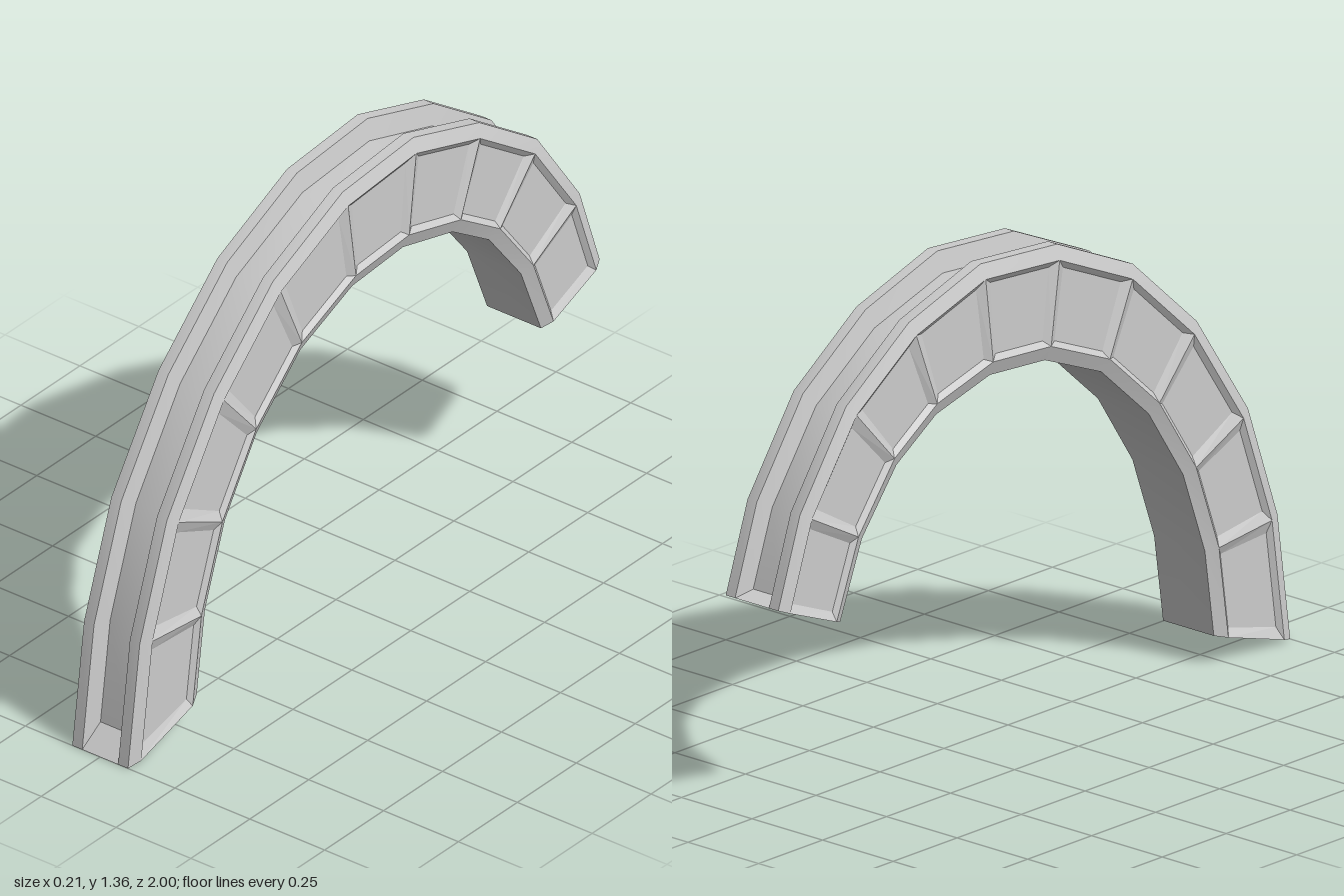
import * as THREE from 'three';
import { toCreasedNormals } from 'three/addons/utils/BufferGeometryUtils.js';

// Arch stations, front foot to rear tip: outer z, y and inner z, y
const stations = [
  [1, 0, 0.705, 0.085], [0.95, 0.36, 0.67, 0.33], [0.835, 0.685, 0.585, 0.565],
  [0.635, 0.98, 0.45, 0.77], [0.385, 1.205, 0.265, 0.935], [0.09, 1.337, 0.045, 1.025],
  [-0.21, 1.36, -0.17, 1.04], [-0.49, 1.27, -0.38, 0.985], [-0.735, 1.1, -0.535, 0.885],
  [-0.915, 0.845, -0.67, 0.715], [-1, 0.6, -0.755, 0.505],
];

// Grooved cross-section: x, and t running from inner (0) to outer (1) edge
const section = [
  [-0.09, 0], [0.09, 0], [0.107, 0.13], [0.107, 0.87], [0.093, 1], [0.06, 1],
  [0.048, 0.81], [-0.048, 0.81], [-0.06, 1], [-0.093, 1], [-0.107, 0.87], [-0.107, 0.13],
];
const SIDE_EDGES = [2, 10];
const last = stations.length - 1;

function point(i, [x, t]) {
  const [oz, oy, iz, iy] = stations[i];
  return new THREE.Vector3(x, iy + (oy - iy) * t, iz + (oz - iz) * t);
}

function quad(out, a, b, c, d) {
  out.push(a, b, c, a, c, d);
}

function build(name, points, crease = 0, side = THREE.FrontSide) {
  let geometry = new THREE.BufferGeometry().setFromPoints(points);
  if (crease) geometry = toCreasedNormals(geometry, crease);
  else geometry.computeVertexNormals();
  const material = new THREE.MeshStandardMaterial({ color: 0xcccccc, side });
  const mesh = new THREE.Mesh(geometry, material);
  mesh.name = name;
  return mesh;
}

// The four corners of one section edge between two stations
function cell(i, k) {
  const a = section[k], b = section[(k + 1) % section.length];
  return [point(i, a), point(i + 1, a), point(i + 1, b), point(i, b)];
}

// Shallow sunken panel with bevelled borders
function sunkenPanel(out, corners) {
  const [p0, p1, p2, p3] = corners;
  const at = (u, v) => {
    const p = p0.clone().lerp(p1, u).lerp(p3.clone().lerp(p2, u), v);
    p.x -= Math.sign(p.x) * 0.012;
    return p;
  };
  const inner = [at(0.1, 0.07), at(0.9, 0.07), at(0.9, 0.93), at(0.1, 0.93)];
  for (let k = 0; k < 4; k++) {
    const n = (k + 1) % 4;
    quad(out, corners[k], corners[n], inner[n], inner[k]);
  }
  quad(out, ...inner);
}

export function createModel() {
  const model = new THREE.Group();
  model.name = 'groovedArch';

  // Rims, groove and underside, with a sunken panel per segment on each side
  const body = [], panels = [];
  for (let i = 0; i < last; i++) {
    for (let k = 0; k < section.length; k++) {
      if (SIDE_EDGES.includes(k)) sunkenPanel(panels, cell(i, k));
      else quad(body, ...cell(i, k));
    }
  }
  model.add(build('archBody', body, 0.4), build('sidePanels', panels));

  // Flat end faces following the section
  const ends = [];
  const outline = section.map(([x, t]) => new THREE.Vector2(x, t));
  for (const [a, b, c] of THREE.ShapeUtils.triangulateShape(outline, [])) {
    ends.push(...[a, b, c].map((k) => point(0, section[k])));
    ends.push(...[c, b, a].map((k) => point(last, section[k])));
  }
  model.add(build('endFaces', ends));

  // Small ramps closing the groove at both ends
  const ramps = [];
  for (const [end, next] of [[0, 1], [last, last - 1]]) {
    const floor = (k) => point(end, section[k]).lerp(point(next, section[k]), 0.13);
    const corners = [point(end, section[5]), floor(6), floor(7), point(end, section[8])];
    if (end) corners.reverse();
    quad(ramps, ...corners);
  }
  model.add(build('grooveRamps', ramps, 0, THREE.DoubleSide));

  return model;
}
